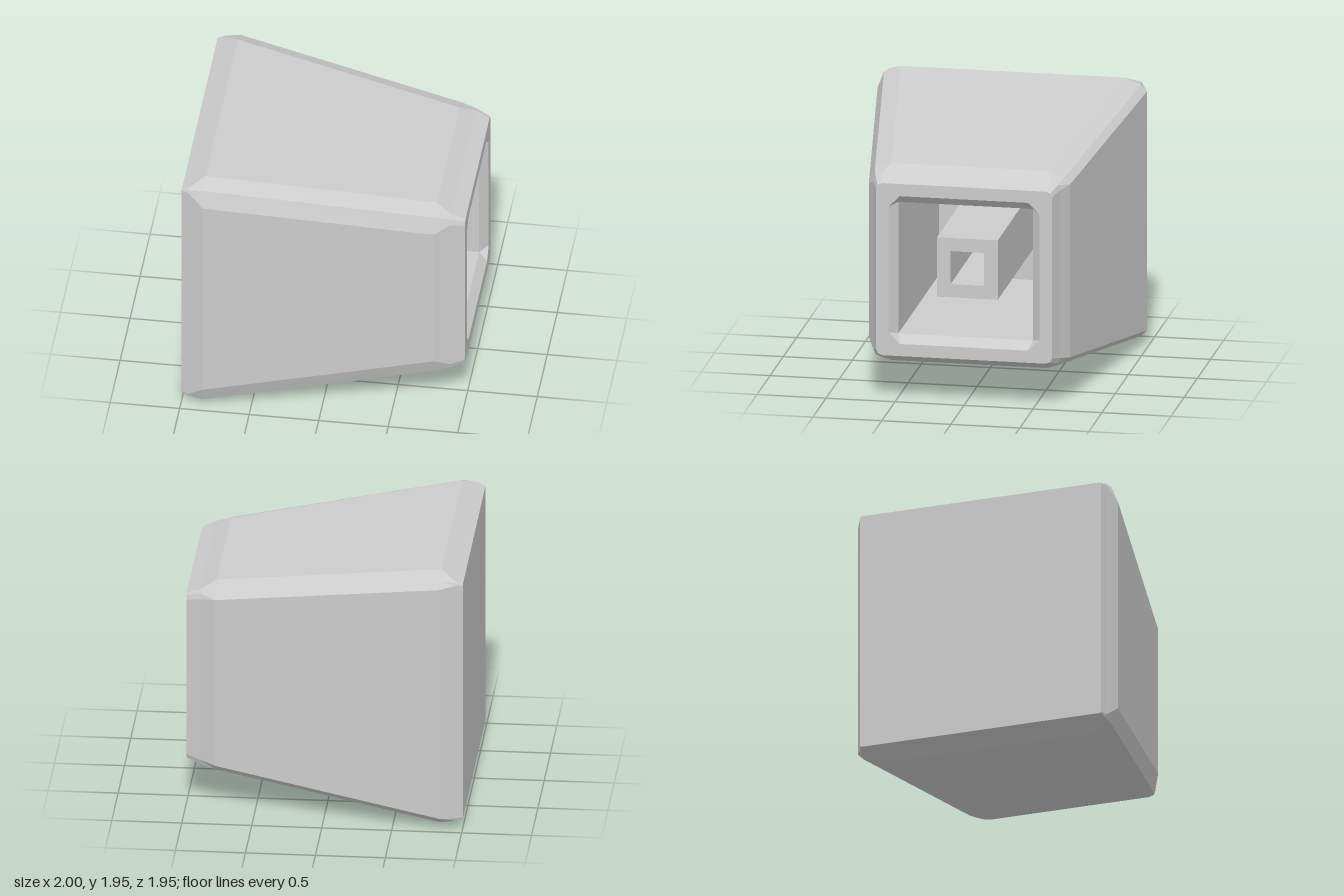
import * as THREE from 'three';

const CENTRE_Y = 0.977;

// Square ring with a three-point corner: h = half size, f = half length of the flat,
// m = middle corner point, fb = flat of the far (-z) side.
function ring([x, h, f = h, m = h, fb = f]) {
  const pts = [
    [-h, fb], [-m, m], [-f, h],
    [f, h], [m, m], [h, f],
    [h, -f], [m, -m], [f, -h],
    [-f, -h], [-m, -m], [-h, -fb],
  ];
  return pts.map(([z, y]) => [x, y + CENTRE_Y, z]);
}

// Skin a series of rings along x and close the chosen ends.
function loft(stations, capStart) {
  const rings = stations.map(ring);
  const pos = [];
  const tri = (a, b, c) => pos.push(...a, ...b, ...c);
  const n = rings[0].length;
  for (let i = 0; i < rings.length - 1; i++) {
    for (let j = 0; j < n; j++) {
      const k = (j + 1) % n;
      const a = rings[i], b = rings[i + 1];
      tri(a[j], a[k], b[k]);
      tri(a[j], b[k], b[j]);
    }
  }
  const first = rings[0], last = rings[rings.length - 1];
  for (let j = 1; j < n - 1; j++) {
    if (capStart) tri(first[0], first[j + 1], first[j]);
    tri(last[0], last[j], last[j + 1]);
  }
  const g = new THREE.BufferGeometry();
  g.setAttribute('position', new THREE.Float32BufferAttribute(pos, 3));
  g.computeVertexNormals();
  return g;
}

export function createModel() {
  const group = new THREE.Group();
  group.name = 'keycap';
  const grey = new THREE.MeshStandardMaterial({ color: 0xcccccc });
  grey.name = 'light grey';

  // Tapered bevelled shell, folding over the rim into the hollow
  const shell = new THREE.Mesh(loft([
    [-1, 0.905, 0.895, 0.902],
    [-0.95, 0.925, 0.9, 0.918],
    [-0.84, 0.977, 0.81, 0.93, 0.885],
    [0.79, 0.73, 0.565, 0.685, 0.64],
    [0.9, 0.675, 0.62, 0.66],
    [0.985, 0.643, 0.6, 0.632],
    [1, 0.637, 0.592, 0.624],
    [1, 0.547, 0.465, 0.506],
    [0.94, 0.487],
    [-0.6, 0.487],
  ], true), grey);
  shell.name = 'shell';
  group.add(shell);

  // Square hollow stem in the middle of the hollow
  const stem = new THREE.Mesh(loft([
    [-0.6, 0.22],
    [0.87, 0.22],
    [0.87, 0.122],
    [-0.5, 0.122],
  ], false), grey);
  stem.name = 'stem';
  group.add(stem);

  return group;
}
